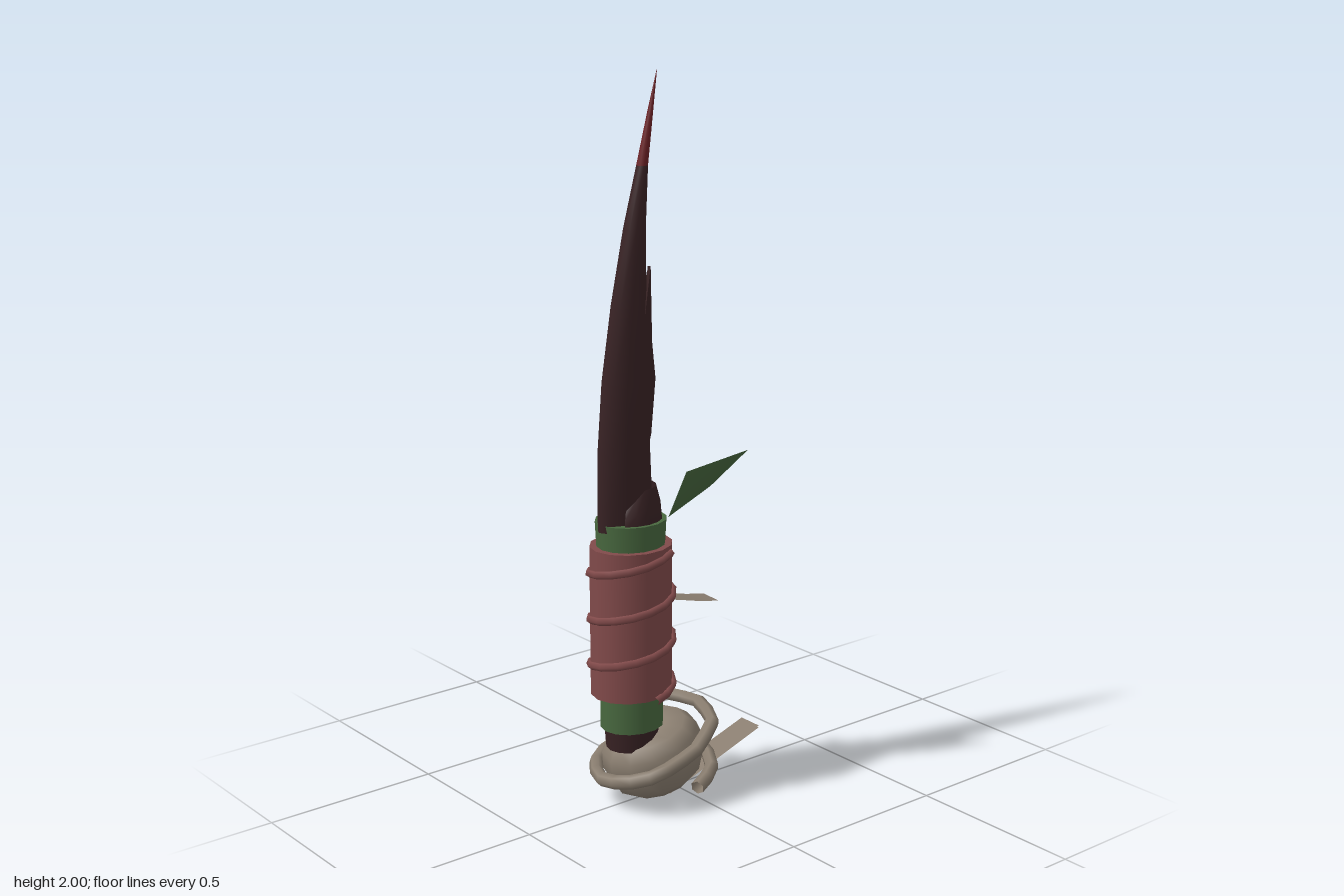
import * as THREE from 'three';

const mat = (name, color, side = THREE.FrontSide) => {
  const m = new THREE.MeshStandardMaterial({ color, side });
  m.name = name;
  return m;
};

// Surface through rings of points; closed rings wrap round
function loft(rings, closed) {
  const n = rings[0].length, pos = rings.flat(2), idx = [];
  for (let i = 0; i < rings.length - 1; i++) {
    for (let j = 0; j < (closed ? n : n - 1); j++) {
      const a = i * n + j, b = i * n + (j + 1) % n;
      idx.push(a, b, b + n, a, b + n, a + n);
    }
  }
  const g = new THREE.BufferGeometry();
  g.setAttribute('position', new THREE.Float32BufferAttribute(pos, 3));
  g.setIndex(idx);
  g.computeVertexNormals();
  return g;
}

export function createModel() {
  const group = new THREE.Group();
  const dark = mat('dark blade', 0x382224, THREE.DoubleSide);
  const red = mat('red tip', 0x6a2024, THREE.DoubleSide);
  const wrap = mat('red wrap', 0x814a4a);
  const green = mat('green', 0x48683f, THREE.DoubleSide);
  const cloth = mat('grey cloth', 0x8a7e70, THREE.DoubleSide);
  const add = (name, geo, material) => {
    const m = new THREE.Mesh(geo, material);
    m.name = name;
    group.add(m);
    return m;
  };

  // Curved blade: height, front z, back z, half width
  const sections = [
    [0.80, 0.257, 0.08, 0.05], [1.0, 0.254, 0.09, 0.049], [1.2, 0.238, 0.094, 0.044],
    [1.4, 0.207, 0.099, 0.034], [1.6, 0.165, 0.1, 0.024], [1.76, 0.122, 0.091, 0.015],
    [1.9, 0.086, 0.071, 0.007], [2.0, 0.058, 0.057, 0.0005],
  ];
  const ring = ([y, front, back, w]) => Array.from({ length: 10 }, (_, j) => {
    const t = j / 10 * Math.PI * 2;
    return [Math.sin(t) * w, y, (front + back) / 2 + Math.cos(t) * (front - back) / 2];
  });
  add('blade', loft(sections.slice(0, 6).map(ring), true), dark);
  add('bladeTip', loft(sections.slice(5).map(ring), true), red);

  // Thin splinter along the back of the blade
  const splinter = new THREE.Shape([[-0.12, 0.98], [-0.1, 1.05], [-0.085, 1.2], [-0.096, 1.3],
    [-0.1, 1.5], [-0.13, 1.3]].map(p => new THREE.Vector2(...p)));
  const sp = add('splinter', new THREE.ExtrudeGeometry(splinter, { depth: 0.012, bevelEnabled: false }), dark);
  sp.rotation.y = Math.PI / 2;
  sp.position.x = 0.014;

  // Collar open at the front with rounded corners
  const collar = [0, 0.5, 1].map(h => Array.from({ length: 13 }, (_, j) => {
    const u = j / 12, t = Math.PI * (0.25 + 1.5 * u);
    const top = 0.05 + 0.052 * Math.min(1, Math.sin(u * Math.PI) * 2);
    const r = 1 - 0.2 * h * h;
    return [Math.sin(t) * 0.079 * r, 0.81 + top * h, 0.15 + Math.cos(t) * 0.09 * r];
  }));
  add('collar', loft(collar, false), dark);

  // Grip sleeves: name, bottom, top, bottom radius, top radius, material
  for (const [name, y0, y1, r0, r1, m] of [
    ['gripEnd', 0.17, 0.25, 0.066, 0.072, dark],
    ['lowerBand', 0.23, 0.345, 0.08, 0.08, green],
    ['grip', 0.33, 0.75, 0.104, 0.104, wrap],
    ['upperBand', 0.74, 0.82, 0.086, 0.09, green],
  ]) {
    const c = add(name, new THREE.CylinderGeometry(r1, r0, y1 - y0, 14), m);
    c.position.set(0, (y0 + y1) / 2, 0.15);
    c.scale.z = 1.13;
  }

  // Cord spiralling up the grip
  const cord = [];
  for (let t = -3.5 * Math.PI; t <= 2.7 * Math.PI; t += Math.PI / 5) {
    cord.push(new THREE.Vector3(Math.sin(t) * 0.105, 0.555 + 0.13 * t / (2 * Math.PI),
      0.15 + Math.cos(t) * 0.118));
  }
  add('gripCord', new THREE.TubeGeometry(new THREE.CatmullRomCurve3(cord), 44, 0.012, 5), wrap);

  // Tilted cloth pommel
  const profile = [[0, -0.092], [0.09, -0.088], [0.118, -0.06], [0.134, 0], [0.126, 0.05],
    [0.1, 0.082], [0.055, 0.09], [0, 0.088]].map(p => new THREE.Vector2(...p));
  const pommel = add('pommel', new THREE.LatheGeometry(profile, 12), cloth);
  pommel.position.set(0, 0.125, 0.075);
  pommel.rotation.x = 0.28;
  pommel.scale.z = 1.12;

  // Rope wound about the pommel
  const rope = [[-0.155, 0.21, 0.09], [-0.12, 0.235, -0.04], [0, 0.235, -0.085], [0.1, 0.215, -0.055],
    [0.14, 0.165, 0.04], [0.135, 0.125, 0.17], [0.07, 0.1, 0.235], [-0.03, 0.085, 0.245],
    [-0.12, 0.1, 0.18], [-0.14, 0.125, 0.05], [-0.08, 0.125, -0.07], [0.02, 0.1, -0.095],
    [0.1, 0.07, -0.055], [0.138, 0.052, 0.03]].map(p => new THREE.Vector3(...p));
  const path = new THREE.CurvePath();
  rope.slice(1).forEach((p, i) => path.add(new THREE.LineCurve3(rope[i], p)));
  add('pommelRope', new THREE.TubeGeometry(new THREE.CatmullRomCurve3(rope, false, 'catmullrom', 0.2), 28, 0.02, 6), cloth);

  // Loose cloth strips: left and right edges along a path
  const strip = (name, pts, x0, x1, skew) => add(name, loft(pts.map(([y, z]) =>
    [[x0, y, z - skew], [x1, y + 0.006, z + skew]]), false), cloth);
  strip('gripStrip', [[0.575, 0.05], [0.562, 0.0], [0.543, -0.07], [0.53, -0.135]], -0.045, 0.04, 0.009);
  strip('pommelStrip', [[0.03, 0.1], [0.003, 0.05], [0.04, -0.06], [0.114, -0.278]], -0.037, 0.049, 0.005);
  strip('pommelStripTop', [[0.038, 0.1], [0.011, 0.05], [0.048, -0.06], [0.12, -0.278]], -0.037, 0.049, 0.005);

  // Leaf beside the collar
  add('leaf', loft([[[0.055, 0.82, 0.065], [0.057, 0.88, -0.08]],
    [[0.11, 0.955, 0.048], [0.17, 1.0, -0.115]]], false), green);

  return group;
}
